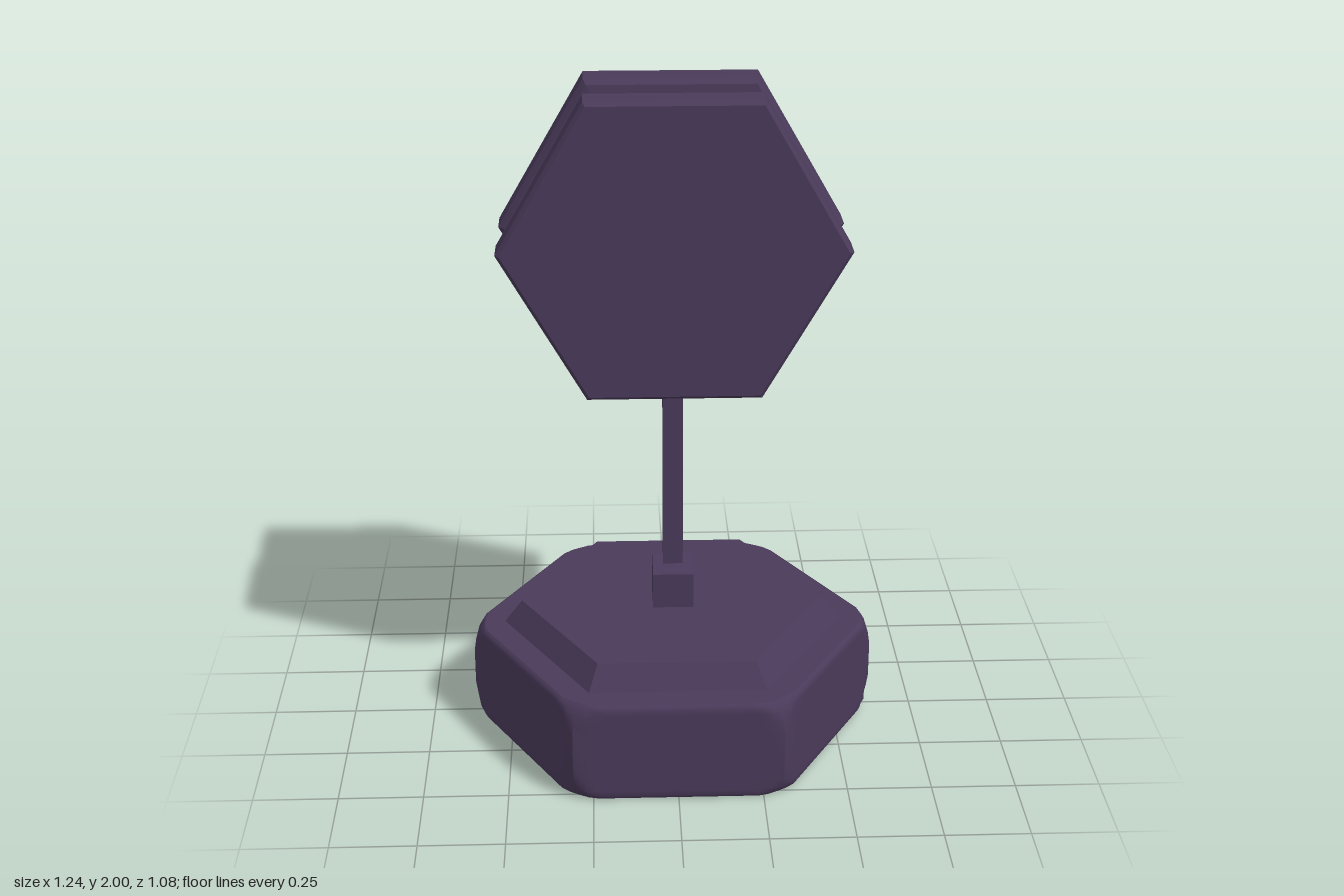
import * as THREE from 'three';
import { toCreasedNormals } from 'three/addons/utils/BufferGeometryUtils.js';

const COS30 = Math.cos(Math.PI / 6);
const smooth = new THREE.MeshStandardMaterial({ color: 0x4a3a5a });
const flat = new THREE.MeshStandardMaterial({ color: 0x4a3a5a, flatShading: true });

function part(name, geometry, material = flat) {
  const mesh = new THREE.Mesh(geometry, material);
  mesh.name = name;
  return mesh;
}

// Six-sided solid with corners on the x axis; profile is [apothem, height]
function hexSolid(profile) {
  const points = profile.map(([a, y]) => new THREE.Vector2(a / COS30, y));
  return new THREE.LatheGeometry(points, 6, Math.PI / 6);
}

// Hexagonal block whose corners are rounded off by a circle at every level
function roundedHexBlock(height) {
  // inset from the ends, apothem, corner circle radius
  const edge = [
    [0, 0, 0], [0, 0.515, 0.57], [0, 0.526, 0.582], [0.005, 0.533, 0.588], [0.015, 0.538, 0.595],
    [0.03, 0.538, 0.603], [0.06, 0.538, 0.612], [0.1, 0.538, 0.618],
  ];
  const rings = [
    ...edge,
    ...edge.slice().reverse().map(([y, a, c]) => [height - y, a, c]),
  ];
  const segments = 120;
  const geometry = new THREE.LatheGeometry(rings.map(([y]) => new THREE.Vector2(1, y)), segments);
  const pos = geometry.attributes.position;
  for (let i = 0; i < pos.count; i++) {
    const [y, apothem, circle] = rings[i % rings.length];
    const step = Math.floor(i / rings.length) % segments;
    const angle = (step / segments) * Math.PI * 2;
    // angle away from the nearest flat side
    const off = angle - Math.round(angle / (Math.PI / 3)) * (Math.PI / 3);
    const r = Math.min(apothem / Math.cos(off), circle);
    pos.setXYZ(i, Math.sin(angle) * r, y, Math.cos(angle) * r);
  }
  return toCreasedNormals(geometry, 0.6);
}

export function createModel() {
  const model = new THREE.Group();
  model.name = 'hexStand';

  // Base and its bevelled top plate
  model.add(part('base', roundedHexBlock(0.312), smooth));
  model.add(part('basePlate', hexSolid([[0, 0.3], [0.45, 0.3], [0.45, 0.312], [0.404, 0.383], [0, 0.383]])));

  // Gabled socket, ridge along x
  const gable = new THREE.Shape([
    [-0.061, 0.37], [0.061, 0.37], [0.061, 0.495], [0, 0.54], [-0.061, 0.495],
  ].map(([x, y]) => new THREE.Vector2(x, y)));
  const socket = new THREE.ExtrudeGeometry(gable, { depth: 0.124, bevelEnabled: false });
  socket.translate(0, 0, -0.062).rotateY(Math.PI / 2);
  model.add(part('socket', socket));

  // Square post
  const post = new THREE.BoxGeometry(0.06, 0.9, 0.06);
  post.translate(0, 0.85, 0);
  model.add(part('post', post));

  // Double-disc head: two bevelled hexagons joined by a narrow core
  const half = [[0.28, 0.049], [0.423, 0.07], [0.438, 0.088], [0.438, 0.18], [0.427, 0.193], [0, 0.193]];
  const profile = [...half.slice().reverse().map(([a, z]) => [a, -z]), ...half];
  const head = part('head', hexSolid(profile).rotateX(Math.PI / 2));
  head.position.y = 1.562;
  model.add(head);

  return model;
}
